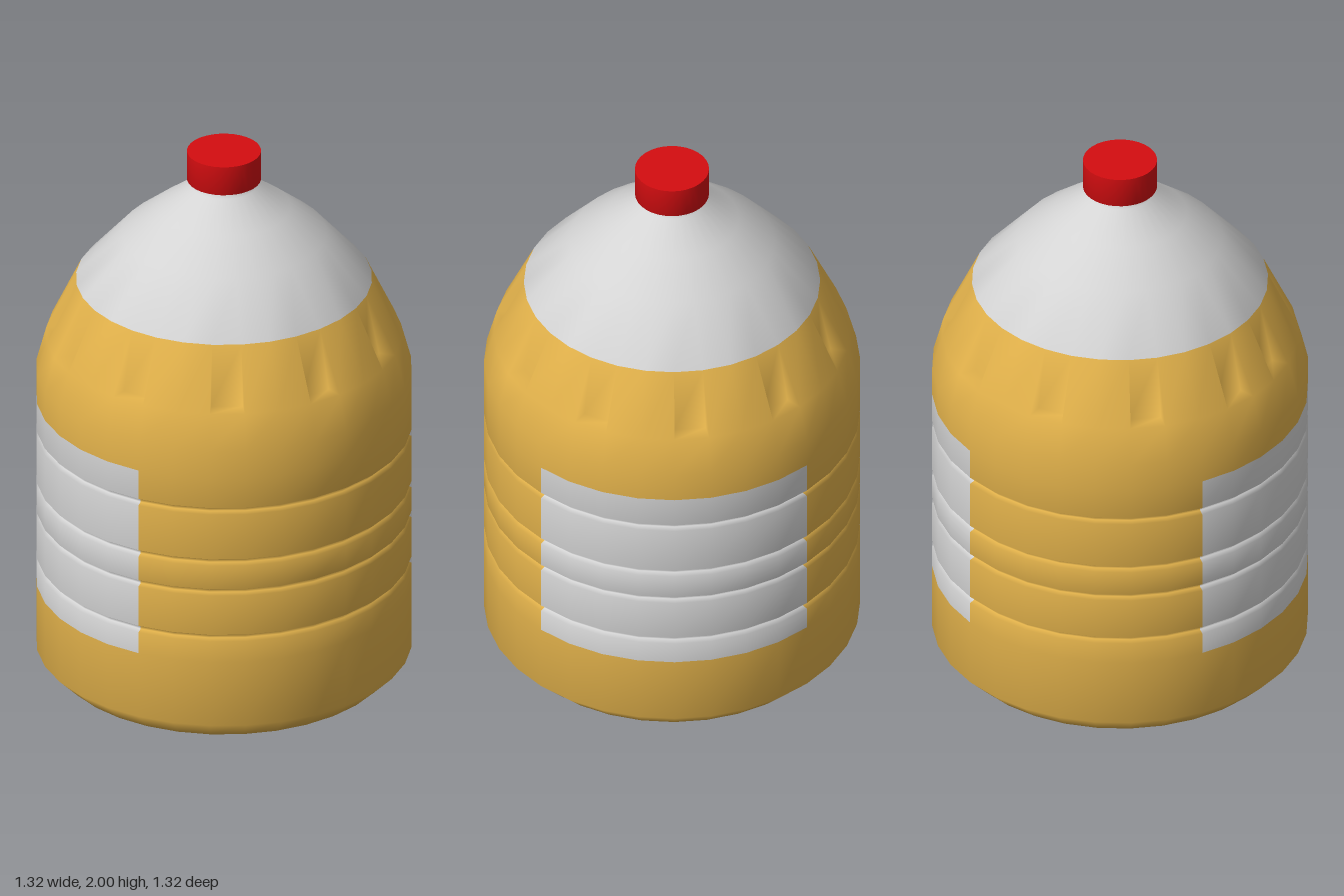
import * as THREE from 'three';

const SIDES = 32;
const STEP = (Math.PI * 2) / SIDES;

// Sides of the bottle that carry a recessed grip or a label
const GRIP_SIDES = [0, 3, 6, 9, 12, 15, 18, 21, 24, 27, 29];
const isLabelSide = (i) => i >= 26 || i === 0 || (i >= 11 && i < 19);
const LABEL_BOTTOM = 0.32, LABEL_TOP = 1.04;
const GRIP_BOTTOM = 1.28, GRIP_TOP = 1.5, GRIP_RADIUS = 0.565;

// Radius and height of each ring, from the base to the neck
function bottleProfile() {
  const rings = [[0.59, 0], [0.66, 0.07], [0.66, LABEL_BOTTOM]];
  for (const y of [0.415, 0.595, 0.713, 0.915]) {
    rings.push([0.66, y - 0.013], [0.642, y - 0.007], [0.642, y + 0.007], [0.66, y + 0.013]);
  }
  rings.push([0.66, LABEL_TOP], [0.66, 1.15], [0.625, GRIP_BOTTOM], [0.52, GRIP_TOP],
    [0.36, 1.68], [0.235, 1.78], [0.117, 1.868], [0.11, 1.9]);
  return rings;
}

// One smooth shell; faces are sorted into gold and pale material groups
function bottleGeometry() {
  const rings = bottleProfile();
  const positions = [];
  const gold = [], pale = [];

  const addPoint = (r, y, i) => {
    positions.push(Math.sin(i * STEP) * r, y, Math.cos(i * STEP) * r);
    return positions.length / 3 - 1;
  };
  const quad = (list, a, b, c, d) => list.push(a, b, c, a, c, d);

  for (const [r, y] of rings) {
    for (let i = 0; i < SIDES; i++) addPoint(r, y, i);
  }
  const at = (row, i) => row * SIDES + (i % SIDES);

  for (let row = 0; row < rings.length - 1; row++) {
    const y0 = rings[row][1], y1 = rings[row + 1][1];
    for (let i = 0; i < SIDES; i++) {
      const a = at(row, i), b = at(row, i + 1), c = at(row + 1, i + 1), d = at(row + 1, i);
      if (y0 === GRIP_BOTTOM && GRIP_SIDES.includes(i)) {
        // Recessed grip: ledge, sloping floor and two side walls
        const p = addPoint(GRIP_RADIUS, y0, i), q = addPoint(GRIP_RADIUS, y0, i + 1);
        quad(gold, a, b, q, p);
        quad(gold, p, q, c, d);
        gold.push(a, p, d, q, b, c);
      } else {
        const onLabel = isLabelSide(i) && y0 >= LABEL_BOTTOM && y1 <= LABEL_TOP;
        quad(onLabel || y0 >= GRIP_TOP ? pale : gold, a, b, c, d);
      }
    }
  }

  // Base
  const centre = addPoint(0, 0, 0);
  for (let i = 0; i < SIDES; i++) gold.push(centre, at(0, i + 1), at(0, i));

  const geometry = new THREE.BufferGeometry();
  geometry.setAttribute('position', new THREE.Float32BufferAttribute(positions, 3));
  geometry.setIndex([...gold, ...pale]);
  geometry.addGroup(0, gold.length, 0);
  geometry.addGroup(gold.length, pale.length, 1);
  geometry.computeVertexNormals();
  return geometry;
}

export function createModel() {
  const material = (name, color) => {
    const m = new THREE.MeshStandardMaterial({ color });
    m.name = name;
    return m;
  };
  const gold = material('golden yellow', 0xe0b04a);
  const pale = material('pale grey', 0xd4d4d4);
  const red = material('cap red', 0xd40d10);

  const model = new THREE.Group();
  model.name = 'bottle';
  const add = (name, geometry, mat) => {
    const mesh = new THREE.Mesh(geometry, mat);
    mesh.name = name;
    model.add(mesh);
    return mesh;
  };

  add('bottleBody', bottleGeometry(), [gold, pale]);

  // Screw cap: turned side with a lower lip, and a flat top
  const side = [[0.1, 1.89], [0.13, 1.89], [0.13, 2]].map(([r, y]) => new THREE.Vector2(r, y));
  add('capSide', new THREE.LatheGeometry(side, SIDES), red);
  const top = add('capTop', new THREE.CircleGeometry(0.13, SIDES), red);
  top.rotation.x = -Math.PI / 2;
  top.position.y = 2;

  return model;
}
